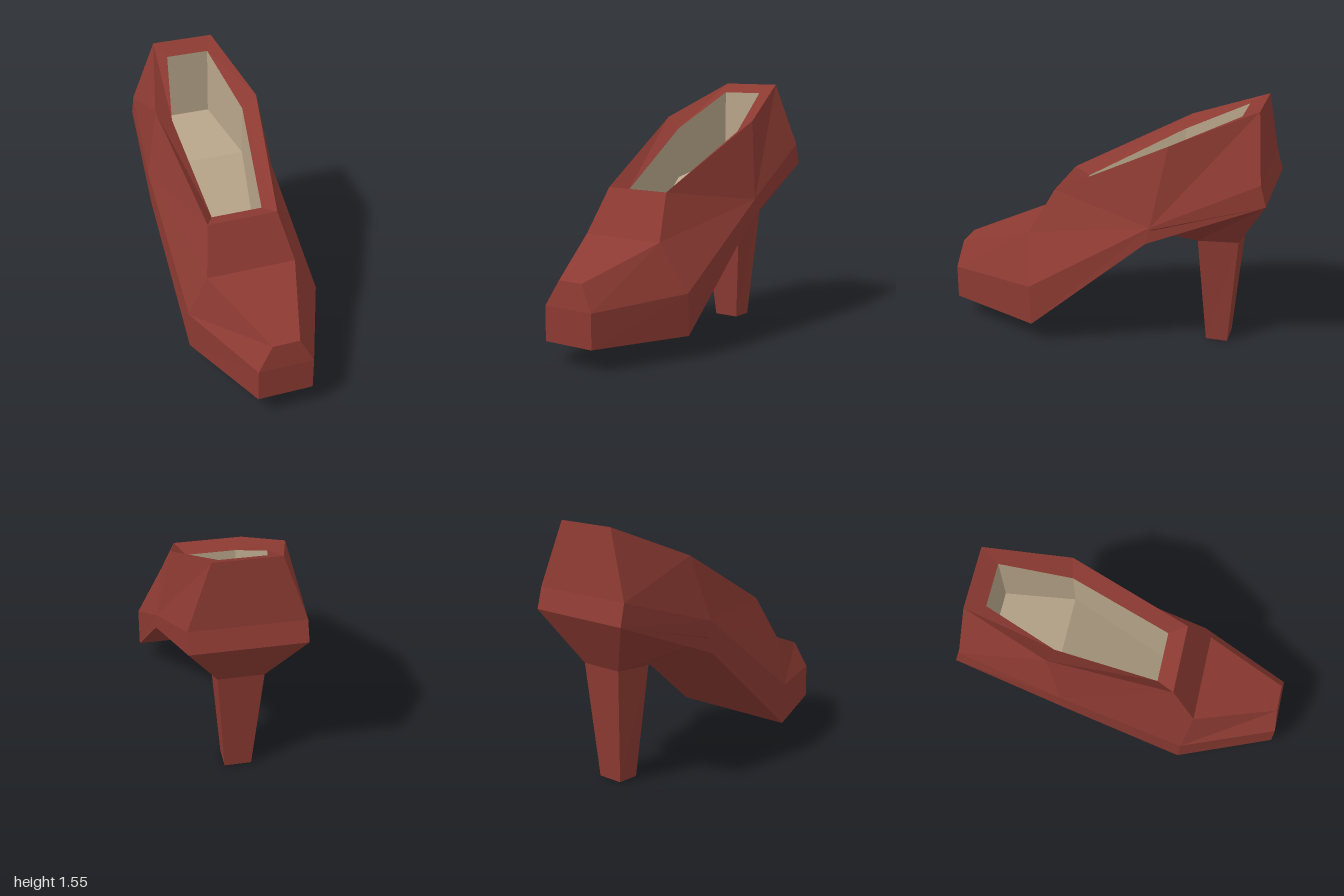
import * as THREE from 'three';

const leather = new THREE.MeshStandardMaterial({ color: 0x8c3a32, flatShading: true });
leather.name = 'red leather';
const lining = new THREE.MeshStandardMaterial({ color: 0xb8a58a, flatShading: true });
lining.name = 'beige lining';

// Flat faceted mesh from polygons with counter-clockwise corners
function facets(name, material, polys) {
  const pos = [];
  for (const p of polys)
    for (let i = 1; i < p.length - 1; i++) pos.push(...p[0], ...p[i], ...p[i + 1]);
  const g = new THREE.BufferGeometry();
  g.setAttribute('position', new THREE.Float32BufferAttribute(pos, 3));
  g.computeVertexNormals();
  const mesh = new THREE.Mesh(g, material);
  mesh.name = name;
  return mesh;
}

// Band of quads between two closed rings
const band = (a, b) => a.map((p, i) => {
  const j = (i + 1) % a.length;
  return [p, a[j], b[j], b[i]];
});

export function createModel() {
  const shoe = new THREE.Group();
  shoe.name = 'highHeelShoe';

  // Pairs of points [left x, right x, y, z]: t = top, m = middle, b = bottom; 0 = toe ... 4 = back
  const pairs = {
    t0: [-0.07, 0.1, 0.5, 0.98], m0: [-0.16, 0.185, 0.345, 1], b0: [-0.16, 0.185, 0.135, 1],
    t1: [-0.3, 0.26, 0.68, 0.47], m1: [-0.405, 0.43, 0.39, 0.42], b1: [-0.4, 0.43, 0.135, 0.41],
    t2: [-0.245, 0.195, 0.955, 0.32],
    t3: [-0.345, 0.32, 1.345, -0.42], m3: [-0.43, 0.4, 0.91, -0.335], b3: [-0.425, 0.405, 0.755, -0.31],
    t4: [-0.21, 0.18, 1.555, -0.92], m4: [-0.35, 0.32, 1.16, -0.965], b4: [-0.355, 0.32, 1.03, -1],
  };
  const L = {}, R = {};
  for (const k in pairs) {
    const [l, r, y, z] = pairs[k];
    L[k] = [l, y, z];
    R[k] = [r, y, z];
  }
  // The instep ridge sits a little higher on one side
  L.m3[1] = 0.96;
  R.m3[1] = 0.86;

  // Upper: both sides share one face list, reversed on the -x side
  const sideFaces = ['b0 b1 m1 m0', 'm0 m1 t1 t0', 'b1 b3 m3 m1', 'm1 m3 t1',
    't1 m3 t2', 't2 m3 t3', 'b3 b4 m4 m3', 'm3 m4 t4 t3'].map(s => s.split(' '));
  const upper = [];
  for (const f of sideFaces) {
    upper.push(f.map(k => R[k]));
    upper.push(f.map(k => L[k]).reverse());
  }
  // Toe cap, vamp, back and sole run across from side to side
  for (const [a, b] of ['b0 m0', 'm0 t0', 't0 t1', 't1 t2', 't4 m4', 'm4 b4'].map(s => s.split(' ')))
    upper.push([L[a], R[a], R[b], L[b]]);
  shoe.add(facets('upper', leather, upper));

  const sole = [];
  for (const [a, b] of [['b4', 'b3'], ['b3', 'b1'], ['b1', 'b0']])
    sole.push([L[a], R[a], R[b], L[b]]);
  shoe.add(facets('sole', leather, sole));

  // Rim around the foot opening
  const outer = [L.t2, R.t2, R.t3, R.t4, L.t4, L.t3];
  const inner = [[-0.185, 0.925, 0.21], [0.135, 0.925, 0.21], [0.22, 1.275, -0.4],
    [0.12, 1.5, -0.81], [-0.15, 1.5, -0.81], [-0.245, 1.275, -0.4]];
  shoe.add(facets('rim', leather, band(outer, inner)));

  // Lining walls and insole
  const floorY = [0.45, 0.45, 0.95, 1.065, 1.065, 0.95];
  const low = inner.map(([x, , z], i) => [x, floorY[i], z]);
  shoe.add(facets('liningWalls', lining, band(inner, low)));
  shoe.add(facets('insole', lining, [
    [low[0], low[1], low[2], low[5]],
    [low[5], low[2], low[3], low[4]],
  ]));

  // Heel: flared seat, then a tapering post
  const seatTop = [[-0.43, 0.86, -0.34], [0.41, 0.85, -0.34], R.b4, L.b4];
  const postTop = [[-0.15, 0.69, -0.57], [0.125, 0.69, -0.57], [0.125, 0.705, -0.82], [-0.15, 0.705, -0.82]];
  const postFoot = [[-0.095, 0, -0.63], [0.07, 0, -0.63], [0.07, 0, -0.765], [-0.095, 0, -0.765]];
  shoe.add(facets('heelSeat', leather, band(postTop, seatTop)));
  shoe.add(facets('heelPost', leather, [...band(postFoot, postTop), [...postFoot].reverse()]));

  return shoe;
}
